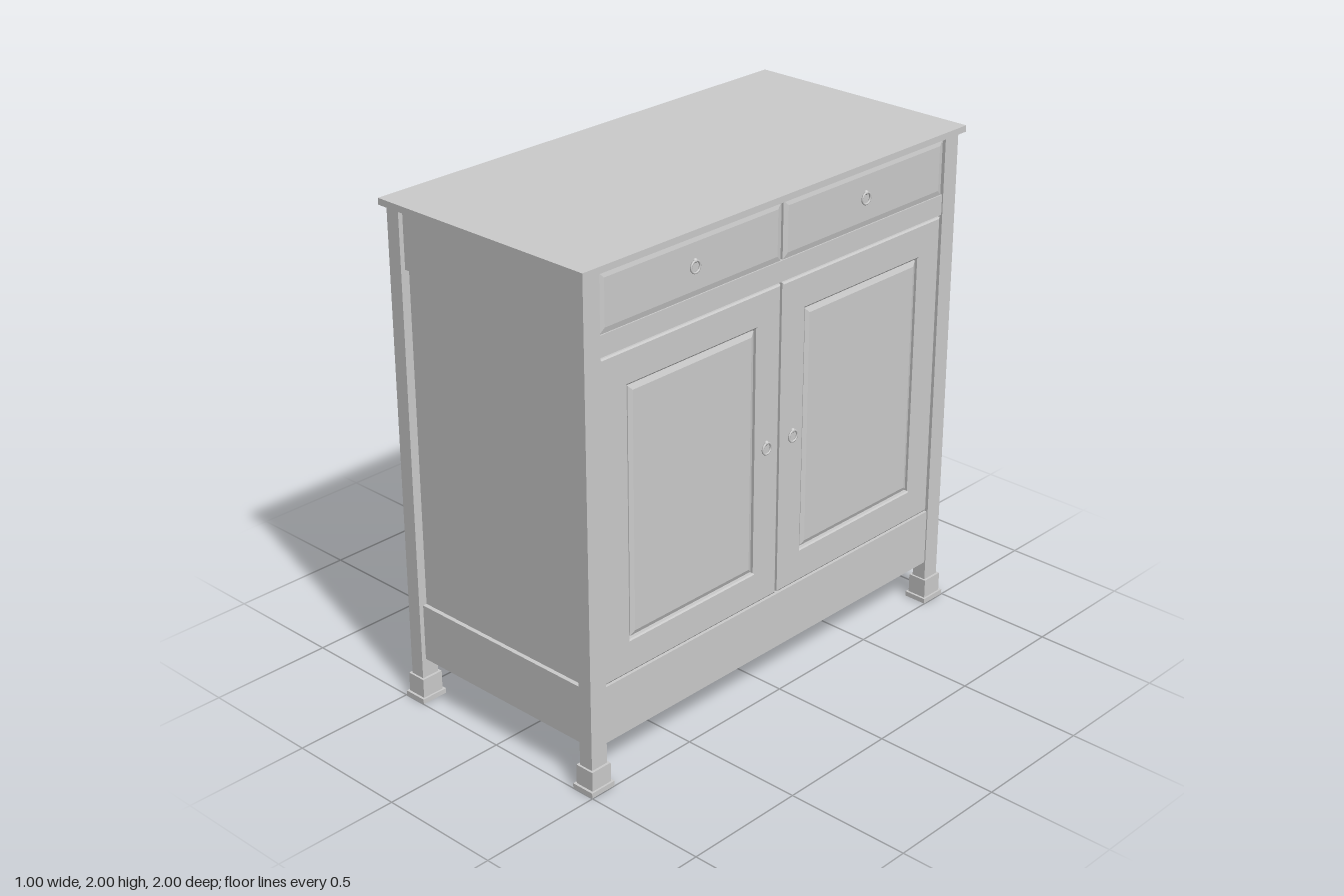
import * as THREE from 'three';

const material = new THREE.MeshStandardMaterial({ color: 0xcccccc });

export function createModel() {
  const cabinet = new THREE.Group();
  cabinet.name = 'cabinet';

  const add = (name, geometry, parent = cabinet) => {
    const mesh = new THREE.Mesh(geometry, material);
    mesh.name = name;
    parent.add(mesh);
    return mesh;
  };

  // Box given by its limits on each axis
  const box = (name, x0, x1, y0, y1, z0, z1, parent) => {
    const mesh = add(name, new THREE.BoxGeometry(x1 - x0, y1 - y0, z1 - z0), parent);
    mesh.position.set((x0 + x1) / 2, (y0 + y1) / 2, (z0 + z1) / 2);
    return mesh;
  };

  const rect = (target, w, h) => {
    target.moveTo(-w / 2, -h / 2);
    target.lineTo(w / 2, -h / 2);
    target.lineTo(w / 2, h / 2);
    target.lineTo(-w / 2, h / 2);
    target.closePath();
    return target;
  };

  // Chamfered board facing +x, from x0 to x1, with an optional opening
  const board = (name, x0, x1, y, z, w, h, slope, rise, hole, parent) => {
    const shape = rect(new THREE.Shape(), w - 2 * slope, h - 2 * slope);
    if (hole) shape.holes.push(rect(new THREE.Path(), hole[0] + 2 * slope, hole[1] + 2 * slope));
    const geometry = new THREE.ExtrudeGeometry(shape, {
      depth: x1 - x0 - rise * 2, bevelEnabled: true,
      bevelSegments: 1, bevelSize: slope, bevelThickness: rise,
    });
    geometry.translate(0, 0, rise);
    geometry.rotateY(Math.PI / 2);
    const mesh = add(name, geometry, parent);
    mesh.position.set(x0, y, z);
    return mesh;
  };

  // Ring pull on a small round stud
  const pull = (name, x, y, z) => {
    const group = new THREE.Group();
    group.name = name;
    const ring = add('pullRing', new THREE.TorusGeometry(0.022, 0.004, 8, 24), group);
    ring.rotation.y = Math.PI / 2;
    ring.position.x = 0.004;
    const stud = add('pullStud', new THREE.SphereGeometry(0.009, 12, 8), group);
    stud.position.set(0.001, 0.022, 0);
    group.position.set(x, y, z);
    cabinet.add(group);
  };

  box('top', -0.5, 0.5, 1.975, 2, -1, 1);
  box('carcass', -0.44, 0.455, 0.175, 1.975, -0.945, 0.945);

  // Legs with stepped feet
  for (const sx of [-1, 1]) {
    for (const sz of [-1, 1]) {
      const leg = new THREE.Group();
      leg.name = 'leg';
      box('post', -0.03, 0.03, 0.09, 1.975, -0.0375, 0.0375, leg);
      box('footBlock', -0.04, 0.04, 0.02, 0.098, -0.046, 0.046, leg);
      box('footPlate', -0.048, 0.048, 0, 0.02, -0.056, 0.056, leg);
      leg.position.set(sx * 0.45, 0, sz * 0.943);
      cabinet.add(leg);
    }
  }

  // Rails around the ends and the back
  for (const [name, y0, y1] of [['lowerRail', 0.175, 0.405], ['upperRail', 1.745, 1.975]]) {
    for (const s of [-1, 1]) {
      box(name, -0.43, 0.43, y0, y1, s * 0.95 - 0.012, s * 0.95 + 0.012);
    }
    box(name + 'Back', -0.47, -0.43, y0, y1, -0.91, 0.91);
  }

  // Front rails
  box('frontLowerRail', 0.44, 0.475, 0.175, 0.405, -0.91, 0.91);
  box('frontMiddleRail', 0.44, 0.475, 1.665, 1.745, -0.91, 0.91);

  for (const s of [-1, 1]) {
    // Framed door with a raised field
    const door = new THREE.Group();
    door.name = 'door';
    board('doorFrame', 0.45, 0.475, 1.035, s * 0.453, 0.895, 1.245, 0.006, 0.004, [0.645, 0.98], door);
    board('doorField', 0.45, 0.473, 1.035, s * 0.453, 0.63, 0.965, 0.018, 0.007, null, door);
    cabinet.add(door);
    pull('doorPull', 0.475, 1.038, s * 0.072);

    // Drawer front with sloping edges
    board('drawerFront', 0.45, 0.475, 1.855, s * 0.453, 0.895, 0.22, 0.022, 0.005, null);
    pull('drawerPull', 0.475, 1.855, s * 0.45);
  }

  return cabinet;
}
